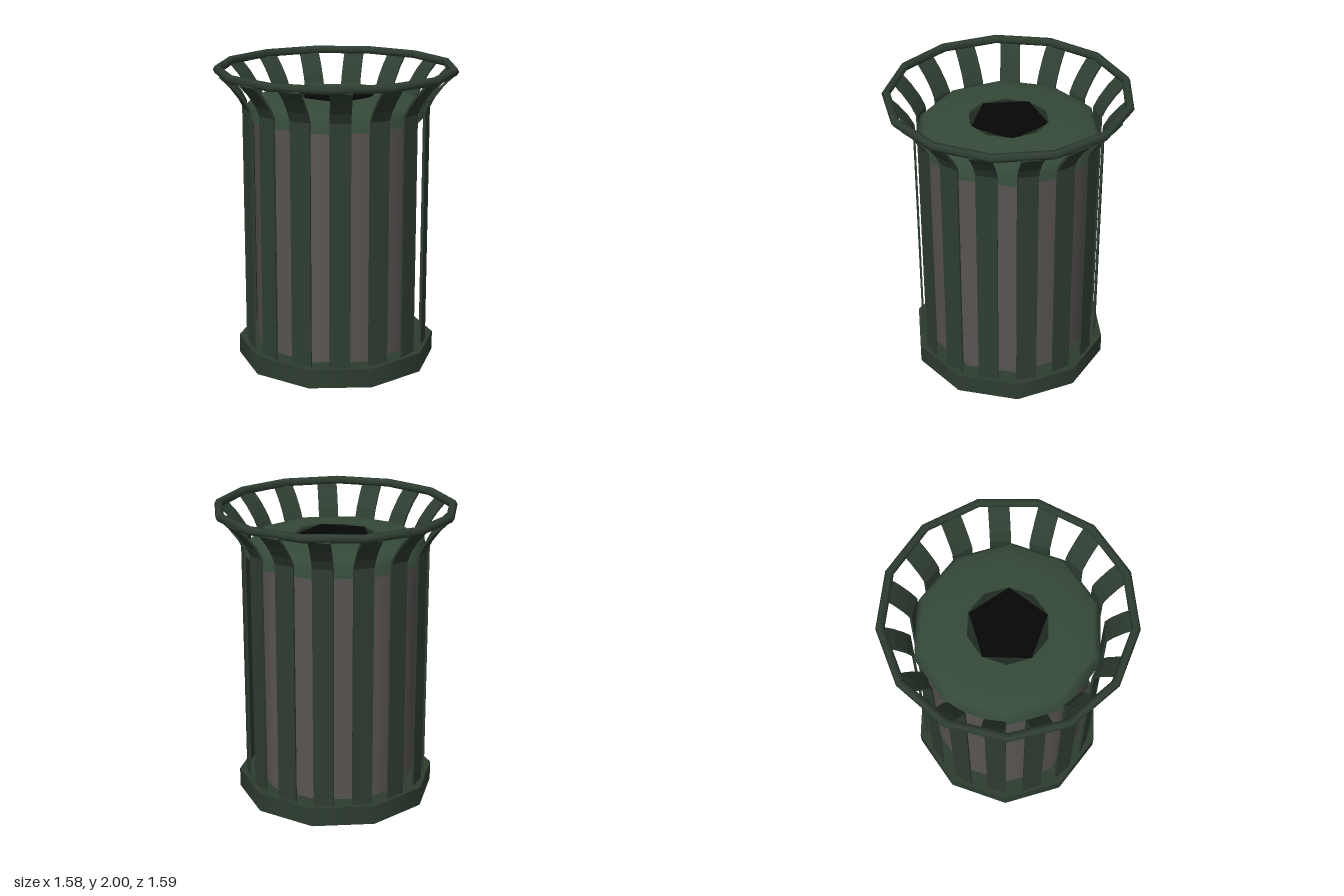
import * as THREE from 'three';

const SLATS = 15;
const RING_SIDES = 13;
const SIDES = 10;

export function createModel() {
  const bin = new THREE.Group();
  bin.name = 'litterBin';
  const green = new THREE.MeshStandardMaterial({ color: 0x2e3d31 });
  const lidGreen = new THREE.MeshStandardMaterial({ color: 0x364a39, side: THREE.DoubleSide });
  const darkGreen = new THREE.MeshStandardMaterial({ color: 0x1d2a1f });
  const grey = new THREE.MeshStandardMaterial({ color: 0x595553 });
  const black = new THREE.MeshStandardMaterial({ color: 0x060606 });

  const body = new THREE.Group();
  body.name = 'body';
  body.position.x = 0.01;
  bin.add(body);

  function add(name, geometry, material, y = 0) {
    const mesh = new THREE.Mesh(geometry, material);
    mesh.name = name;
    mesh.position.y = y;
    body.add(mesh);
    return mesh;
  }

  // Solid ten-sided foot and the inner can
  add('base', new THREE.CylinderGeometry(0.665, 0.665, 0.13, SIDES), green, 0.065);
  add('innerCan', new THREE.CylinderGeometry(0.54, 0.54, 1.6, SIDES), grey, 0.9);

  // Domed lid: skirt and top in one smooth sweep, then a short lip around the opening
  const lathe = (pts) => new THREE.LatheGeometry(pts.map(([r, y]) => new THREE.Vector2(r, y)), SIDES);
  add('lid', lathe([[0.606, 1.67], [0.588, 1.745], [0.56, 1.77], [0.47, 1.787], [0.36, 1.805], [0.262, 1.81]]), lidGreen);
  add('lidLip', lathe([[0.262, 1.81], [0.257, 1.79]]), lidGreen);

  // Opening: dark five-sided mouth over a ten-sided seat
  add('openingSeat', new THREE.CylinderGeometry(0.258, 0.258, 0.02, SIDES), darkGreen, 1.785);
  add('opening', new THREE.CylinderGeometry(0.256, 0.256, 0.02, 5), black, 1.79);

  // Flat slats that bend outwards to the top ring
  const outer = [[0.612, 0.08], [0.612, 1.74], [0.645, 1.805], [0.705, 1.885], [0.77, 1.95]];
  const inner = [[0.765, 1.968], [0.694, 1.895], [0.633, 1.813], [0.598, 1.745], [0.598, 0.08]];
  const profile = new THREE.Shape([...outer, ...inner].map(([x, y]) => new THREE.Vector2(x, y)));
  const width = 0.134;
  const slatGeometry = new THREE.ExtrudeGeometry(profile, { depth: width, bevelEnabled: false });
  slatGeometry.translate(0, 0, -width / 2);
  for (let i = 0; i < SLATS; i++) {
    const slat = add('slat', slatGeometry, green);
    slat.rotation.y = Math.PI + (i / SLATS) * Math.PI * 2;
  }

  // Thirteen-sided top ring
  const ring = new THREE.TorusGeometry(0.772, 0.028, 6, RING_SIDES);
  ring.rotateX(Math.PI / 2).rotateY(Math.PI);
  add('topRing', ring, green, 1.9755);

  return bin;
}
